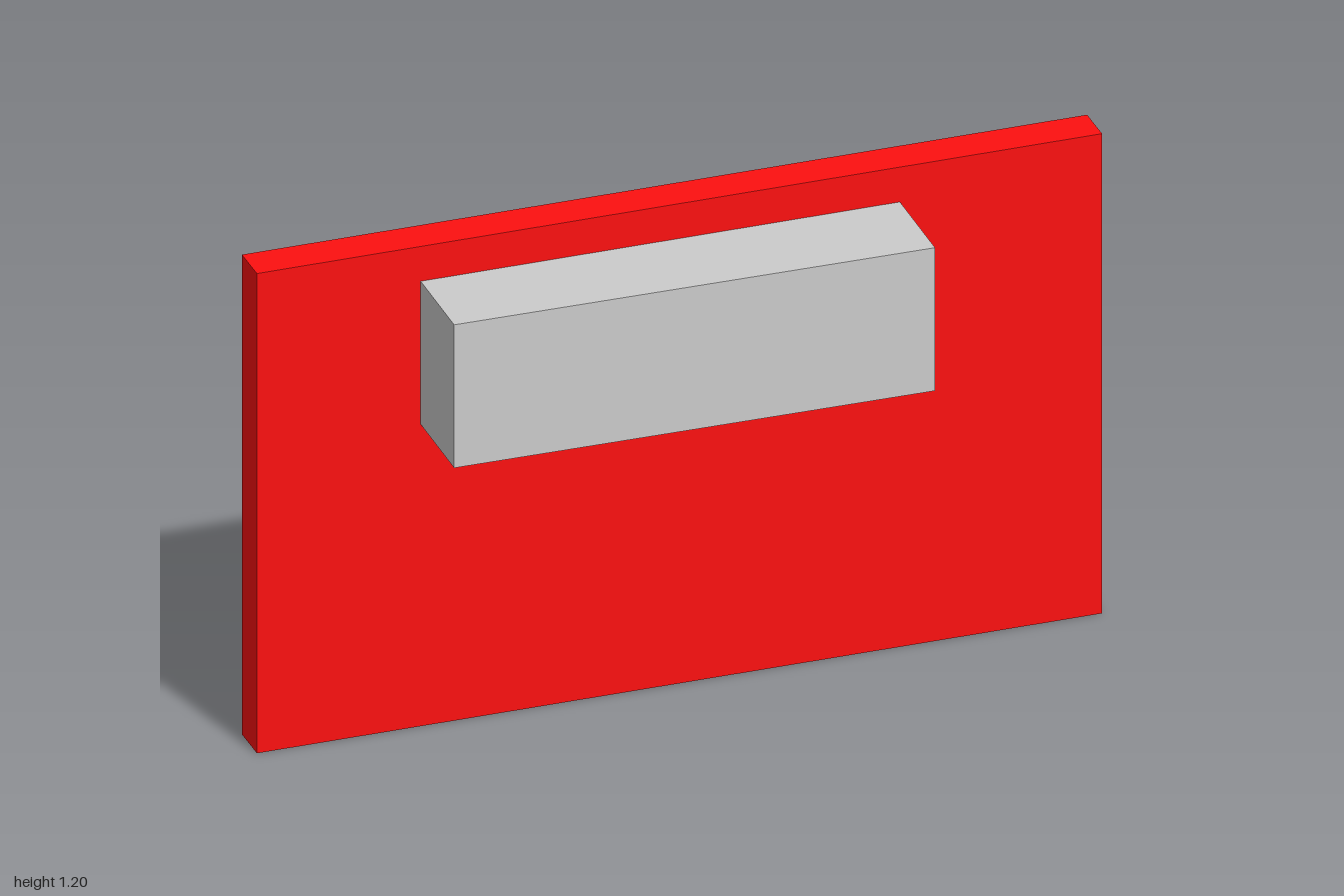
import * as THREE from 'three';

// Adds a named box centred at the given position
function addBox(group, name, color, size, position) {
  const mesh = new THREE.Mesh(
    new THREE.BoxGeometry(...size),
    new THREE.MeshStandardMaterial({ color })
  );
  mesh.name = name;
  mesh.position.set(...position);
  group.add(mesh);
  return mesh;
}

export function createModel() {
  const model = new THREE.Group();
  model.name = 'panelWithBlock';

  // Upright red panel
  addBox(model, 'panel', 0xfd1010, [2, 1.2, 0.098], [0, 0.6, -0.103]);

  // Grey block passing through the panel, turned very slightly
  const block = addBox(model, 'block', 0xcccccc, [1.134, 0.358, 0.349], [-0.046, 0.934, 0.002]);
  block.rotation.y = -0.01;

  return model;
}
